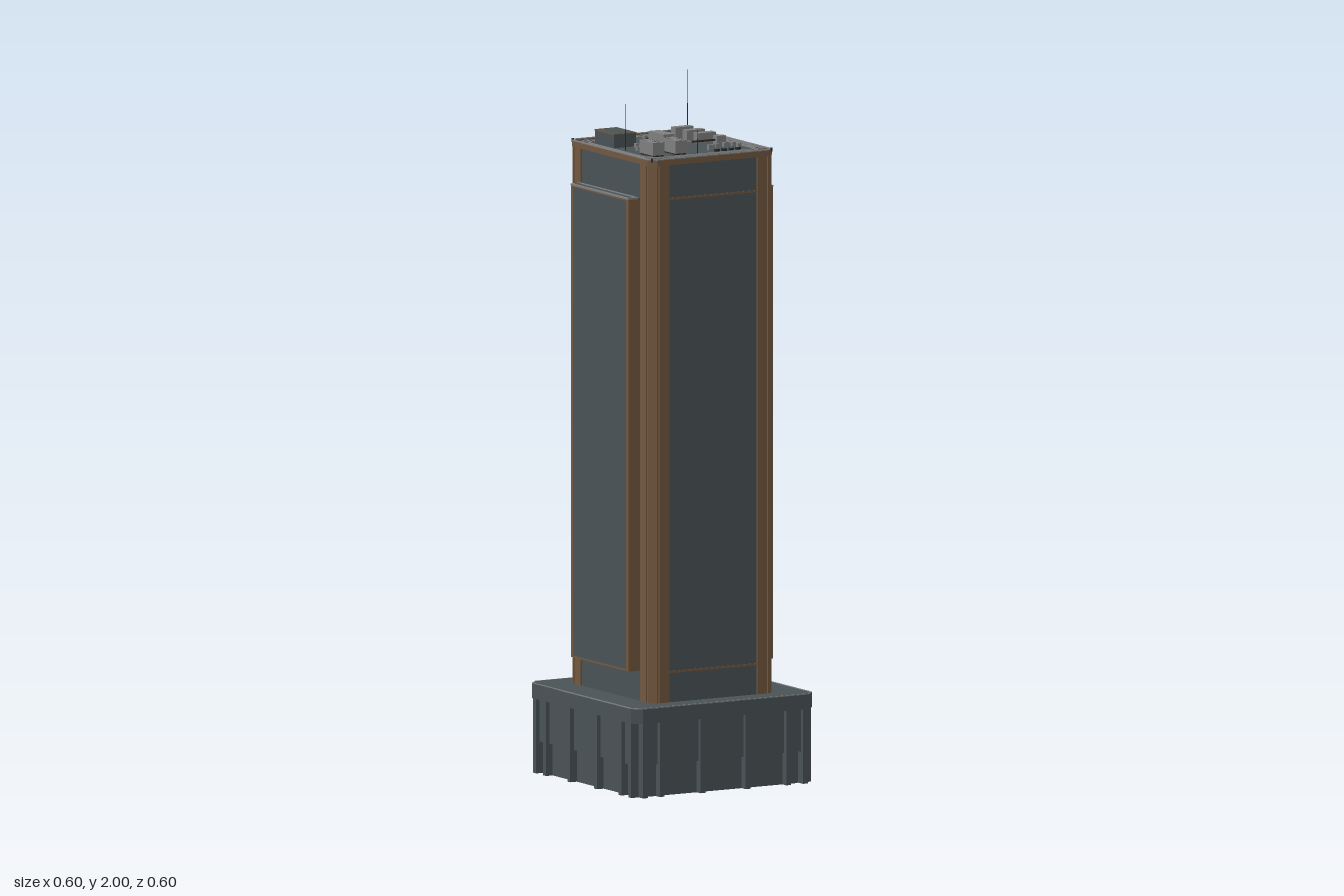
import * as THREE from 'three';

const mat = (name, color) => {
  const m = new THREE.MeshStandardMaterial({ color });
  m.name = name;
  return m;
};

export function createModel() {
  const slate = mat('slate', 0x495256);
  const bronze = mat('bronze', 0x73583f);
  const grey = mat('grey', 0x7f7f7f);
  const dark = mat('dark metal', 0x2c2c2c);
  const model = new THREE.Group();

  const add = (name, geo, material, parent) => {
    const m = new THREE.Mesh(geo, material);
    m.name = name;
    parent.add(m);
    return m;
  };
  const group = (name) => {
    const g = new THREE.Group();
    g.name = name;
    model.add(g);
    return g;
  };
  // Box given by its centre in plan, its size and its bottom and top heights
  const box = (name, material, x, z, w, d, y0, y1, parent) => {
    const m = add(name, new THREE.BoxGeometry(w, y1 - y0, d), material, parent);
    m.position.set(x, (y0 + y1) / 2, z);
    return m;
  };
  // Chamfered rectangle in plan
  const oct = (hx, hz, c) => [
    [hx, -hz + c], [hx, hz - c], [hx - c, hz], [-hx + c, hz],
    [-hx, hz - c], [-hx, -hz + c], [-hx + c, -hz], [hx - c, -hz],
  ];
  const points = (list) => list.map(([x, z]) => new THREE.Vector2(x, -z));
  // Plan outline, optionally hollow, raised between two heights;
  // the hole runs the other way round so its walls face inwards
  const prism = (name, material, outline, y0, y1, hole, parent) => {
    const shape = new THREE.Shape(points(outline));
    if (hole) shape.holes.push(new THREE.Path(points(hole).reverse()));
    const geo = new THREE.ExtrudeGeometry(shape, { depth: y1 - y0, bevelEnabled: false });
    geo.rotateX(-Math.PI / 2);
    geo.translate(0, y0, 0);
    return add(name, geo, material, parent);
  };
  const ring = (name, material, hx, hz, c, t, y0, y1, parent) =>
    prism(name, material, oct(hx, hz, c), y0, y1, oct(hx - t, hz - t, c - t * 0.58), parent);

  // Podium: hollow stepped shell with a slab on top
  const podium = group('podium');
  ring('lowerWall', slate, 0.276, 0.276, 0.025, 0.012, 0, 0.092, podium);
  ring('upperWall', slate, 0.286, 0.286, 0.025, 0.022, 0.092, 0.216, podium);
  prism('podiumCeiling', slate, oct(0.28, 0.28, 0.025), 0.17, 0.215, null, podium);
  prism('podiumRoof', slate, oct(0.3, 0.3, 0.025), 0.215, 0.258, null, podium);
  ring('podiumCoping', grey, 0.3, 0.3, 0.025, 0.003, 0.257, 0.26, podium);
  for (let side = 0; side < 4; side++) {
    const face = new THREE.Group();
    face.name = 'podiumPilasters';
    face.rotation.y = side * Math.PI / 2;
    podium.add(face);
    for (const x of [-0.265, -0.21, -0.075, 0.075, 0.21, 0.265])
      box('pilaster', slate, x, 0.2775, 0.016, 0.041, 0, 0.216, face);
  }

  // Tower shaft
  const tower = group('tower');
  prism('glassShaft', slate, oct(0.201, 0.227, 0.03), 0.255, 1.818, null, tower);
  const pier = [
    [0.146, 0.2], [0.146, 0.23], [0.178, 0.23], [0.178, 0.225], [0.182, 0.225], [0.182, 0.23],
    [0.186, 0.23], [0.205, 0.21], [0.205, 0.204], [0.2, 0.204], [0.2, 0.2],
    [0.205, 0.2], [0.205, 0.165], [0.18, 0.165],
  ];
  for (const sx of [-1, 1]) for (const sz of [-1, 1])
    prism('cornerPier', bronze, pier.map(([x, z]) => [x * sx, z * sz]), 0.258, 1.818, null, tower);
  prism('roofDeck', slate, oct(0.202, 0.227, 0.021), 1.816, 1.82, null, tower);
  ring('topBand', bronze, 0.206, 0.231, 0.021, 0.006, 1.808, 1.824, tower);
  ring('towerCoping', grey, 0.206, 0.231, 0.021, 0.007, 1.824, 1.827, tower);
  for (const s of [-1, 1]) for (const h of [0.345, 1.71])
    box('frontTrim', bronze, 0, s * 0.226, 0.292, 0.006, h - 0.003, h + 0.003, tower);

  // Projecting bays on both sides
  for (const s of [-1, 1]) {
    const bay = group('sideBay');
    box('bayBody', bronze, s * 0.22, 0, 0.04, 0.32, 0.345, 1.706, bay);
    box('bayGlass', slate, s * 0.2395, 0, 0.003, 0.296, 0.351, 1.702, bay);
    box('bayRoof', slate, s * 0.22, 0, 0.038, 0.318, 1.705, 1.709, bay);
    for (const x of [0.21, 0.238])
      box('bayLongCoping', grey, s * x, 0, 0.006, 0.321, 1.706, 1.711, bay);
    for (const z of [-0.158, 0.158])
      box('bayEndCoping', grey, s * 0.224, z, 0.023, 0.005, 1.706, 1.711, bay);
  }

  // Roof perimeter track with rungs and corner brackets
  const roof = group('roofEquipment');
  const y = 1.818;
  ring('outerRail', grey, 0.2, 0.201, 0.025, 0.005, y, 1.824, roof);
  ring('innerRail', grey, 0.184, 0.184, 0.02, 0.008, y, 1.824, roof);
  for (const s of [-1, 1]) {
    for (let i = -5; i <= 5; i++) {
      box('rung', grey, i * 0.028, s * 0.19, 0.004, 0.016, y, 1.823, roof);
      box('rung', grey, s * 0.19, i * 0.028, 0.016, 0.004, y, 1.823, roof);
    }
    box('railCover', grey, 0, s * 0.2, 0.235, 0.008, y, 1.825, roof);
    box('railCover', grey, s * 0.2, 0, 0.008, 0.235, y, 1.825, roof);
    for (const t of [-1, 1]) {
      const bracket = ring('cornerBracket', grey, 0.018, 0.01, 0.005, 0.004, y, 1.827, roof);
      bracket.position.set(s * 0.179, 0, t * 0.179);
      bracket.rotation.y = s * t * Math.PI / 4;
    }
  }

  // Stair housing with a bronze edge
  box('stairHousing', slate, -0.124, -0.107, 0.072, 0.106, y, 1.86, roof);
  for (const s of [-1, 1]) {
    box('housingEdge', bronze, -0.124, -0.107 + s * 0.0535, 0.075, 0.002, 1.858, 1.861, roof);
    box('housingEdge', bronze, -0.124 + s * 0.0365, -0.107, 0.002, 0.107, 1.858, 1.861, roof);
  }

  // Plant boxes: x, z, width, depth, top
  for (const [x, z, w, d, top] of [
    [0.118, -0.14, 0.06, 0.025, 1.85], [0.118, -0.077, 0.06, 0.025, 1.85],
    [0.118, -0.015, 0.06, 0.025, 1.85], [-0.024, -0.018, 0.036, 0.084, 1.86],
    [0.14, 0.029, 0.03, 0.022, 1.845], [0.02, 0.047, 0.024, 0.019, 1.84],
    [0.063, 0.112, 0.02, 0.01, 1.835],
  ]) box('plantBox', grey, x, z, w, d, y, top, roof);

  // Cooling units with fan dots
  for (const cx of [-0.132, -0.057]) {
    box('coolingUnit', grey, cx, 0.11, 0.038, 0.075, 1.824, 1.861, roof);
    box('coolingBase', dark, cx, 0.11, 0.034, 0.07, y, 1.825, roof);
    for (let i = 0; i < 3; i++) for (let j = 0; j < 6; j++)
      box('fan', dark, cx + (i - 1) * 0.012, 0.08 + j * 0.012, 0.0025, 0.0025, 1.86, 1.8615, roof);
  }

  // Small exhaust fans and vents
  for (const [x, z] of [
    [0, -0.15], [0, -0.123], [0.028, -0.123], [0.056, -0.123],
    [-0.097, -0.035], [-0.097, -0.007], [-0.097, 0.022], [-0.125, 0.022],
    [0.1, 0.08], [0.127, 0.08], [0.156, 0.08], [0.156, 0.11],
  ]) box('exhaustFan', grey, x, z, 0.011, 0.011, y, 1.832, roof);
  for (const x of [0.063, 0.086, 0.11, 0.133]) {
    box('vent', dark, x, 0.145, 0.014, 0.009, y, 1.827, roof);
    box('ventCap', grey, x, 0.145, 0.005, 0.004, 1.826, 1.828, roof);
  }

  // Pipe runs, each a chain of straight lengths
  const pipe = (path, py) => path.slice(1).forEach(([x, z], i) => {
    const [px, pz] = path[i];
    box('pipe', dark, (x + px) / 2, (z + pz) / 2,
      Math.abs(x - px) + 0.004, Math.abs(z - pz) + 0.004, py, py + 0.004, roof);
  });
  pipe([[-0.034, -0.058], [-0.034, -0.084], [0.026, -0.084], [0.026, -0.034], [0.012, -0.034], [0.012, 0.031], [0.126, 0.031]], 1.832);
  pipe([[-0.026, -0.058], [-0.026, -0.077], [0.036, -0.077], [0.036, 0.026], [0.126, 0.026]], 1.83);
  pipe([[-0.018, -0.058], [-0.018, -0.07], [0, -0.07], [0, 0.045], [0.012, 0.045]], 1.828);
  for (const z of [-0.055, -0.033, -0.012, 0.005])
    box('pipeRack', dark, 0.025, z, 0.026, 0.002, 1.828, 1.834, roof);

  // Masts: x, z, top of thick part, tip
  for (const [x, z, mid, tip] of [
    [0.175, -0.208, 1.89, 2], [-0.156, 0.002, 1.88, 1.955], [-0.008, 0.155, 1.86, 1.89],
  ]) {
    const shaft = (r, a, b) => add('mast', new THREE.CylinderGeometry(r * 0.7, r, b - a, 6), dark, roof)
      .position.set(x, (a + b) / 2, z);
    shaft(0.0017, y, mid);
    shaft(0.001, mid, tip);
  }
  for (const sx of [-1, 1]) for (const sz of [-1, 1])
    box('cornerLamp', dark, sx * 0.198, sz * 0.221, 0.005, 0.005, 1.819, 1.83, roof);

  return model;
}
